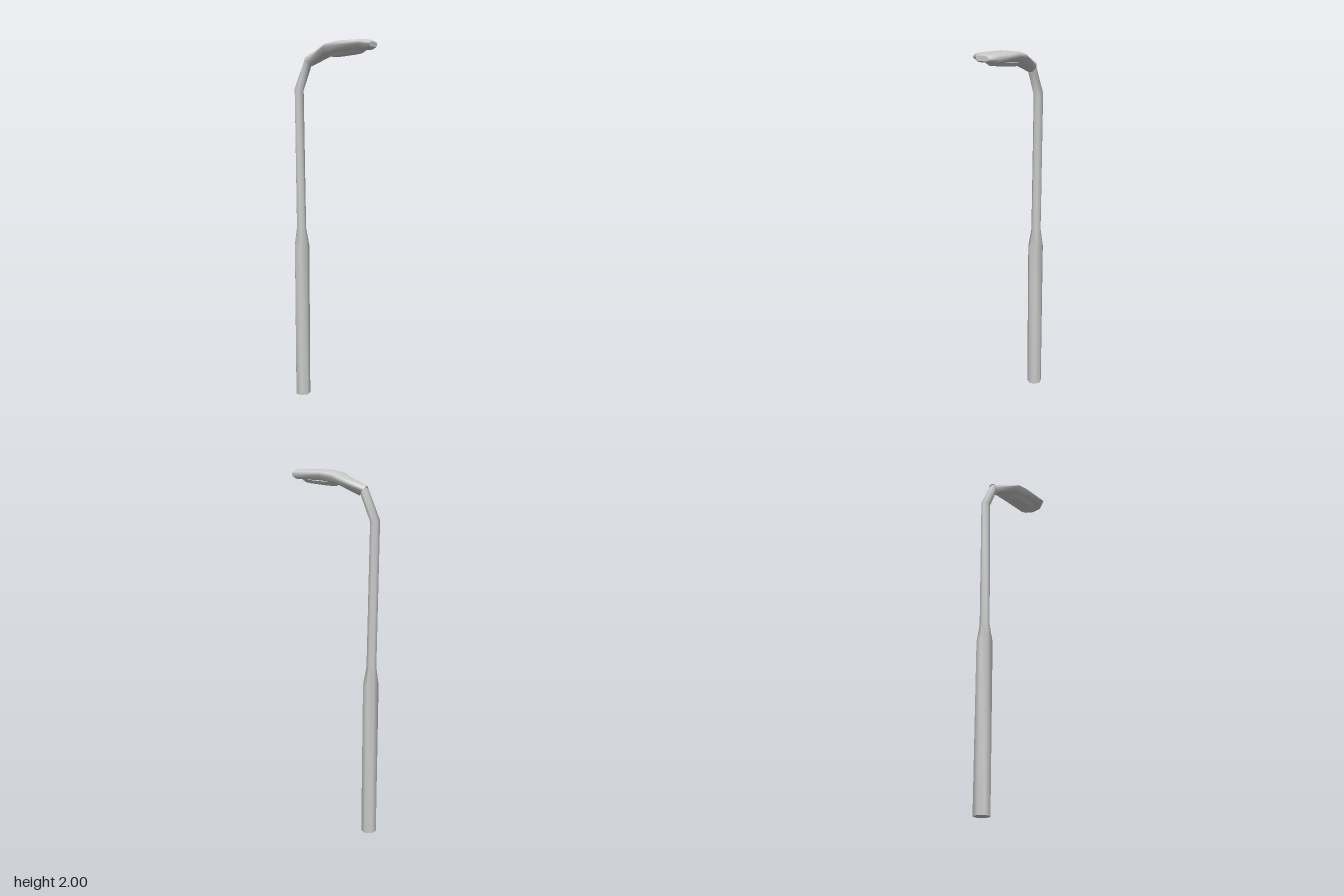
import * as THREE from 'three';

const material = new THREE.MeshStandardMaterial({ color: 0xcccccc, side: THREE.DoubleSide });

// Skins a list of rings (equal point counts) and closes the requested ends
function loft(name, rings, capStart, capEnd) {
  const n = rings[0].length;
  const points = rings.flat();
  const index = [];
  for (let i = 0; i < rings.length - 1; i++) {
    for (let j = 0; j < n; j++) {
      const a = i * n + j, b = i * n + (j + 1) % n;
      index.push(a, a + n, b + n, a, b + n, b);
    }
  }
  const cap = (ring, flip) => {
    const base = points.length;
    points.push(...ring);
    for (let j = 1; j < n - 1; j++) {
      index.push(base, base + (flip ? j + 1 : j), base + (flip ? j : j + 1));
    }
  };
  if (capStart) cap(rings[0], false);
  if (capEnd) cap(rings[rings.length - 1], true);
  const geometry = new THREE.BufferGeometry().setFromPoints(points);
  geometry.setIndex(index);
  geometry.computeVertexNormals();
  const mesh = new THREE.Mesh(geometry, material);
  mesh.name = name;
  return mesh;
}

// Seven-sided ring facing along a tangent tilted in the xy plane
function poleRing([x, y, r, degrees]) {
  const t = THREE.MathUtils.degToRad(degrees);
  return Array.from({ length: 7 }, (_, i) => {
    const a = (i / 7) * Math.PI * 2;
    const u = r * Math.sin(a);
    return new THREE.Vector3(x + u * Math.sin(t), y - u * Math.cos(t), 0.003 - r * Math.cos(a));
  });
}

// Lamp head cross-section: flat underside, wide shoulders, rounded top
function headRing([x, lean, w, bottomW, yBottom, yMid, yTop]) {
  const yShoulder = yMid + (yTop - yMid) * 0.65;
  const profile = [
    [-w, yMid], [-bottomW, yBottom], [bottomW, yBottom], [w, yMid],
    [w * 0.83, yShoulder], [w * 0.42, yTop], [-w * 0.42, yTop], [-w * 0.83, yShoulder],
  ];
  return profile.map(([z, y]) => new THREE.Vector3(x + lean * (y - yMid), y, z));
}

// Elongated hexagon below the head, sloping up toward the tip
function lensRing([x0, x1, w, y0, y1]) {
  const l = x1 - x0;
  return [[0, -0.5], [0.2, -1], [0.8, -1], [1, -0.5], [1, 0.5], [0.8, 1], [0.2, 1], [0, 0.5]]
    .map(([f, s]) => new THREE.Vector3(x0 + f * l, y0 + f * (y1 - y0), s * w));
}

export function createModel() {
  const group = new THREE.Group();
  group.name = 'streetLamp';

  // Thick base, tapered collar, slim upper pole and bent arm
  group.add(loft('pole', [
    [-0.208, 0, 0.043, 90],
    [-0.208, 0.89, 0.043, 90],
    [-0.21, 0.99, 0.027, 90],
    [-0.218, 1.755, 0.026, 79],
    [-0.155, 1.9, 0.025, 45],
  ].map(poleRing), true, false));

  // Neck flaring into the lamp head
  group.add(loft('lampHead', [
    [-0.155, -0.8, 0.025, 0.012, 1.878, 1.9, 1.922],
    [-0.01, 0.25, 0.084, 0.045, 1.935, 1.965, 1.99],
    [0.06, 0, 0.088, 0.055, 1.948, 1.973, 1.999],
    [0.213, 0, 0.088, 0.055, 1.953, 1.975, 2.0],
    [0.248, 0, 0.04, 0.03, 1.963, 1.975, 1.988],
  ].map(headRing), false, true));

  // Shallow lens on the underside
  group.add(loft('lens', [
    [0.01, 0.175, 0.035, 1.92, 1.935],
    [-0.015, 0.2, 0.05, 1.938, 1.953],
  ].map(lensRing), true, false));

  return group;
}
